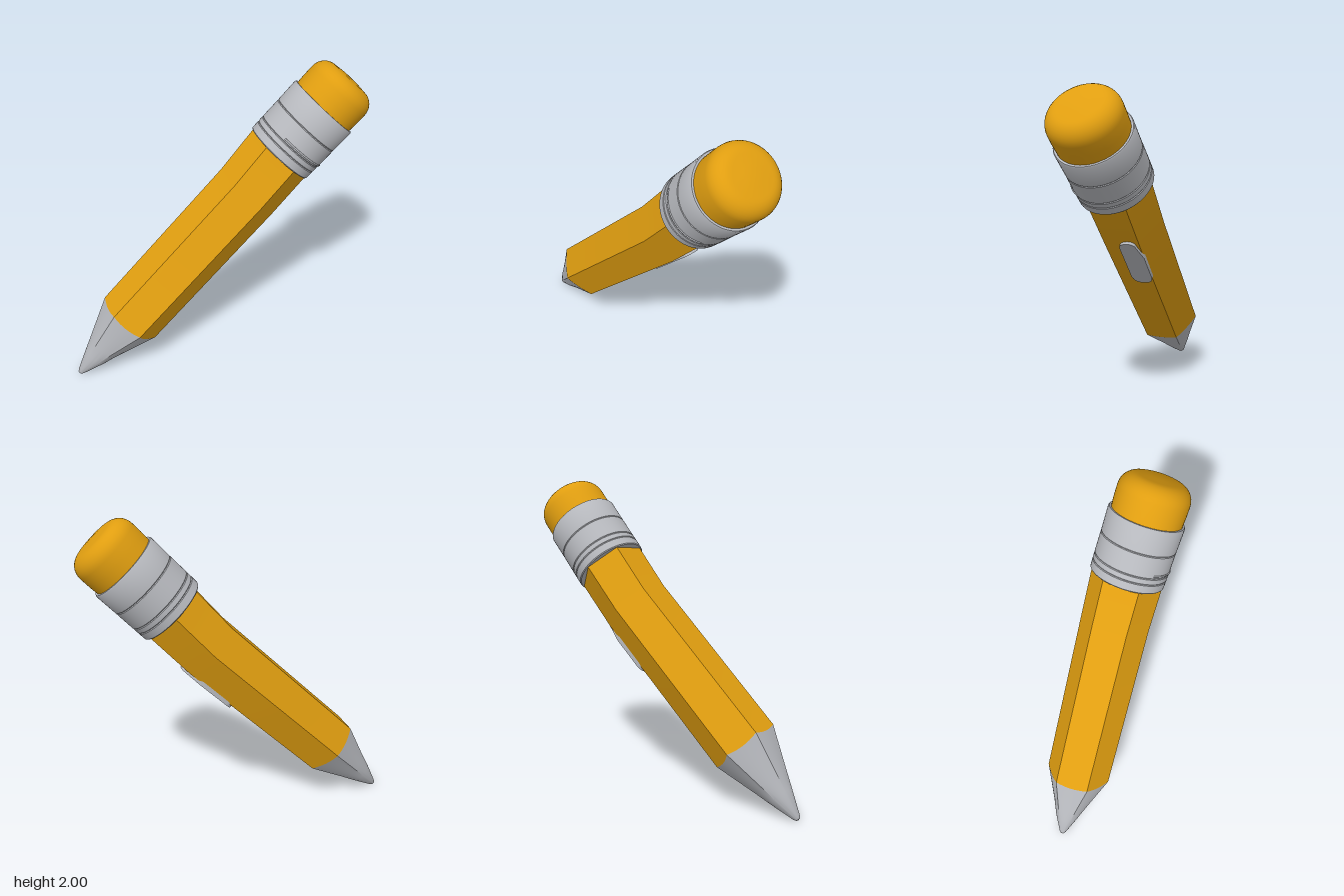
import * as THREE from 'three';
import { toCreasedNormals } from 'three/addons/utils/BufferGeometryUtils.js';

const V = (x, y, z) => new THREE.Vector3(x, y, z);
const U = V(1, -1, 0).normalize();   // across the pencil
const D = V(1, 1, 0).normalize();    // along the pencil
const SIDES = 48;

// Loft along the pencil; hex = 1 gives a hexagon, 0 a circle, scallop bows the rim
function loft(sections, crease) {
  const pos = [], index = [];
  for (const { c, r, hex = 1, scallop = 0 } of sections) {
    for (let i = 0; i < SIDES; i++) {
      const a = (i / SIDES) * Math.PI * 2;
      const flat = Math.cos(Math.PI / 6) / Math.cos((a % (Math.PI / 3)) - Math.PI / 6);
      const rho = r * (hex * flat + 1 - hex);
      const shift = -scallop * (1 - flat) / 0.134;
      const p = V(...c).addScaledVector(U, rho * Math.sin(a)).addScaledVector(D, shift);
      pos.push(p.x, p.y, p.z + rho * Math.cos(a));
    }
  }
  for (let k = 0; k < sections.length - 1; k++) {
    for (let i = 0; i < SIDES; i++) {
      const a = k * SIDES + i, b = k * SIDES + (i + 1) % SIDES;
      index.push(a, b, a + SIDES, b, b + SIDES, a + SIDES);
    }
  }
  const g = new THREE.BufferGeometry();
  g.setAttribute('position', new THREE.Float32BufferAttribute(pos, 3));
  g.setIndex(index);
  return toCreasedNormals(g, crease);
}

function lathe(points) {
  const g = new THREE.LatheGeometry(points.map(([r, y]) => new THREE.Vector2(r, y)), 64);
  return toCreasedNormals(g, 0.6);
}

export function createModel() {
  const yellow = new THREE.MeshStandardMaterial({ color: 0xe09e10 });
  yellow.name = 'pencilYellow';
  const grey = new THREE.MeshStandardMaterial({ color: 0xb6b8bd });
  grey.name = 'metalGrey';

  const model = new THREE.Group();
  model.name = 'pencil';
  const add = (parent, name, geometry, material) => {
    const m = new THREE.Mesh(geometry, material);
    m.name = name;
    parent.add(m);
    return m;
  };

  // Six-sided shaft with a slight bend near the top
  const rim = { c: [-0.615, 0.39, -0.035], r: 0.216, scallop: 0.015 };
  add(model, 'shaft', loft([
    rim,
    { c: [0.214, 1.186, -0.026], r: 0.22 },
    { c: [0.45, 1.45, -0.013], r: 0.226 },
  ], 0.5), yellow);

  // Sharpened point: hexagon easing into a round, blunt nib
  add(model, 'point', loft([
    { c: [-0.992, 0.008, -0.05], r: 0.001, hex: 0 },
    { c: [-0.989, 0.011, -0.05], r: 0.014, hex: 0 },
    { c: [-0.978, 0.022, -0.05], r: 0.024, hex: 0 },
    { c: [-0.87, 0.131, -0.046], r: 0.082, hex: 0.1 },
    { c: [-0.8, 0.203, -0.043], r: 0.118, hex: 0.7 },
    rim,
  ], 0.45), grey);

  // Top end, built upright and then tilted onto the axis
  const top = new THREE.Group();
  top.name = 'topEnd';
  const base = V(0.43, 1.43, -0.015);
  top.position.copy(base);
  top.quaternion.setFromUnitVectors(V(0, 1, 0), V(0.705, 1.72, 0.02).sub(base).normalize());
  model.add(top);

  // Metal collar with fine grooves
  const collar = [[0.19, 0], [0.229, 0], [0.234, 0.006]];
  for (const y of [0.06, 0.1, 0.24]) {
    collar.push([0.235, y - 0.005], [0.231, y], [0.235, y + 0.005]);
  }
  collar.push([0.237, 0.392], [0.232, 0.4], [0.212, 0.4]);
  add(top, 'collar', lathe(collar), grey);

  // Raised crimp line on the front of the collar
  const crimp = new THREE.TorusGeometry(0.235, 0.006, 6, 32, 1.7);
  crimp.rotateZ(Math.PI / 2 - 0.85).rotateX(Math.PI / 2);
  add(top, 'collarCrimp', crimp, grey).position.y = 0.118;

  // Rounded eraser
  const eraser = [[0.218, 0.36], [0.222, 0.46]];
  for (let i = 0; i <= 8; i++) {
    const a = (i / 8) * Math.PI / 2;
    eraser.push([0.122 + 0.1 * Math.cos(a), 0.53 + 0.1 * Math.sin(a)]);
  }
  eraser.push([0.06, 0.636], [0, 0.638]);
  add(top, 'eraser', lathe(eraser), yellow);

  // Side button on the lower flat, with one clipped corner
  const s = new THREE.Shape();
  s.moveTo(-0.067, -0.15);
  s.quadraticCurveTo(-0.06, -0.215, 0, -0.215);
  s.quadraticCurveTo(0.067, -0.21, 0.067, -0.15);
  s.lineTo(0.067, 0.07);
  s.lineTo(0.035, 0.19);
  s.quadraticCurveTo(0.025, 0.215, -0.01, 0.215);
  s.quadraticCurveTo(-0.067, 0.21, -0.067, 0.16);
  const plate = new THREE.ExtrudeGeometry(s, { depth: 0.03, bevelEnabled: false, curveSegments: 8 });
  const button = add(model, 'sideButton', toCreasedNormals(plate, 0.6), grey);
  const along = V(0.721, 0.693, 0).normalize(), out = V(0.693, -0.721, 0).normalize();
  button.quaternion.setFromRotationMatrix(new THREE.Matrix4().makeBasis(V(0, 0, -1), along, out));
  button.position.set(0.235, 0.925, -0.077).addScaledVector(out, -0.026);

  return model;
}
